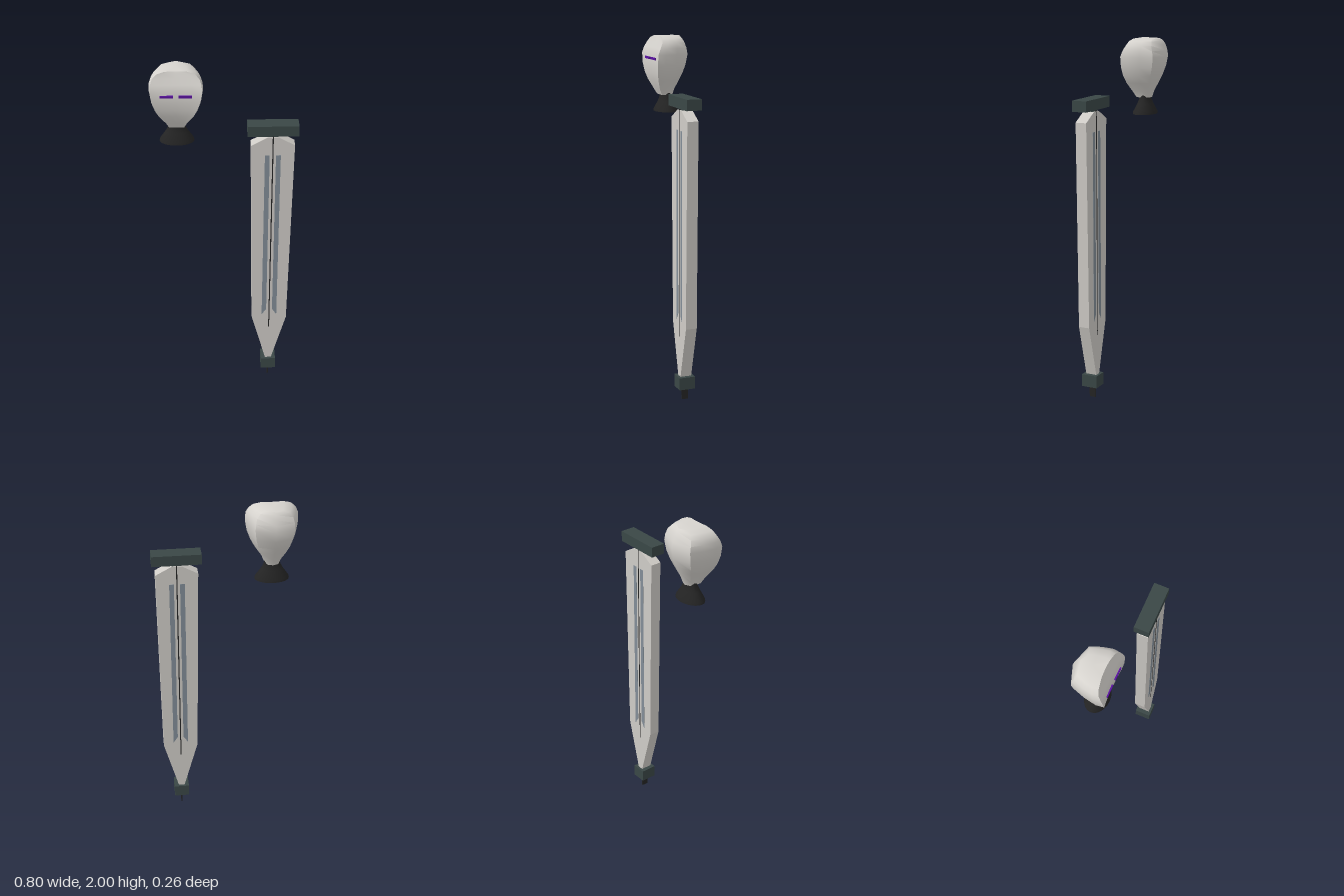
import * as THREE from 'three';
import { toCreasedNormals } from 'three/addons/utils/BufferGeometryUtils.js';

const material = (name, color) => Object.assign(new THREE.MeshStandardMaterial({ color }), { name });

function mesh(name, geometry, mat, x = 0, y = 0, z = 0) {
  const m = new THREE.Mesh(geometry, mat);
  m.name = name;
  m.position.set(x, y, z);
  return m;
}

// Flat outline extruded symmetrically about z = 0
function plate(points, depth) {
  const shape = new THREE.Shape(points.map(p => new THREE.Vector2(p[0], p[1])));
  return new THREE.ExtrudeGeometry(shape, { depth, bevelEnabled: false }).translate(0, 0, -depth / 2);
}

// Head lofted from scaled copies of one cross-section
function headGeometry() {
  // x as a share of half width, z as a share from back (0) to front (1)
  const half = [[0, 0], [0.73, 0.16], [0.9, 0.48], [1, 0.8], [0.96, 1], [0.6, 0.98], [0, 0.97]];
  const section = [...half, ...half.slice(1, -1).reverse().map(([x, t]) => [-x, t])];
  // y, half width, front z, back z
  const rings = [
    [1.665, 0.042, 0.037, -0.042], [1.70, 0.058, 0.055, -0.055], [1.75, 0.095, 0.076, -0.08],
    [1.79, 0.116, 0.087, -0.1], [1.84, 0.134, 0.093, -0.119], [1.90, 0.144, 0.093, -0.13],
    [1.935, 0.141, 0.08, -0.121], [1.965, 0.13, 0.064, -0.108], [1.988, 0.105, 0.055, -0.096],
    [2.0, 0.06, 0.048, -0.085],
  ];
  const n = section.length, pos = [], index = [];
  for (const [y, w, front, back] of rings)
    for (const [x, t] of section) pos.push(x * w, y, back + (front - back) * t);
  const bottom = n * rings.length, top = bottom + 1, last = bottom - n;
  pos.push(0, 1.665, 0, 0, 2.0, -0.02);
  for (let k = 0; k < n; k++) {
    const next = (k + 1) % n;
    for (let r = 0; r < last; r += n)
      index.push(r + k, r + n + k, r + n + next, r + k, r + n + next, r + next);
    index.push(bottom, k, next, top, last + next, last + k);
  }
  const g = new THREE.BufferGeometry();
  g.setAttribute('position', new THREE.Float32BufferAttribute(pos, 3));
  g.setIndex(index);
  return toCreasedNormals(g, 0.85);
}

export function createModel() {
  const bone = material('bone white', 0xd6d3ce);
  const steel = material('pale steel', 0xcfccc7);
  const groove = material('blue grey', 0x828d97);
  const iron = material('dark green grey', 0x3a4746);
  const black = material('black', 0x242424);
  const purple = material('purple', 0x5a12a0);
  const model = new THREE.Group();

  // Masked head on a flared neck
  const bust = new THREE.Group();
  bust.name = 'bust';
  bust.position.x = -0.255;
  bust.add(mesh('head', headGeometry(), bone));
  const neckProfile = [[0, 1.57], [0.095, 1.57], [0.092, 1.582], [0.06, 1.628], [0.046, 1.655], [0.042, 1.68], [0, 1.68]];
  const neck = new THREE.LatheGeometry(neckProfile.map(p => new THREE.Vector2(...p)), 24);
  bust.add(mesh('neck', toCreasedNormals(neck.scale(1, 1, 0.7), 0.7), black));
  for (const s of [-1, 1])
    bust.add(mesh(s > 0 ? 'leftEye' : 'rightEye', new THREE.BoxGeometry(0.07, 0.013, 0.009), purple, s * 0.05, 1.875, 0.0905));
  model.add(bust);

  // Sword, point down
  const sword = new THREE.Group();
  sword.name = 'sword';
  sword.position.set(0.26, 0, 0.082);
  const side = [[0.012, 0.12], [0.1, 0.44], [0.118, 1.59], [0.027, 1.64]];
  const outline = [...side, ...side.slice().reverse().map(([x, y]) => [-x, y])];
  sword.add(mesh('blade', plate(outline, 0.064), steel));
  sword.add(mesh('crossguard', new THREE.BoxGeometry(0.275, 0.06, 0.085), iron, 0, 1.68, 0));
  sword.add(mesh('collar', new THREE.BoxGeometry(0.054, 0.028, 0.052), iron, 0, 1.64, 0));
  sword.add(mesh('tipBlock', new THREE.BoxGeometry(0.085, 0.07, 0.093), iron, 0, 0.105, 0));

  // Centre ridge, narrowing into the blade towards the tip
  const ridge = plate([[-0.018, 0], [0.018, 0], [0.032, 0.37], [0.0335, 1.0], [0.033, 1.65], [-0.033, 1.65], [-0.0335, 1.0], [-0.032, 0.37]], 0.006);
  sword.add(mesh('centreRidge', ridge.rotateY(Math.PI / 2), black));

  // Paired grooves on both faces
  for (const s of [-1, 1]) {
    const strip = [[0.017, 0.5], [0.043, 0.46], [0.043, 1.53], [0.017, 1.53]].map(([x, y]) => [s * x, y]);
    for (const f of [-1, 1])
      sword.add(mesh('groove', plate(strip, 0.002), groove, 0, 0, f * 0.032));
  }
  model.add(sword);
  return model;
}
